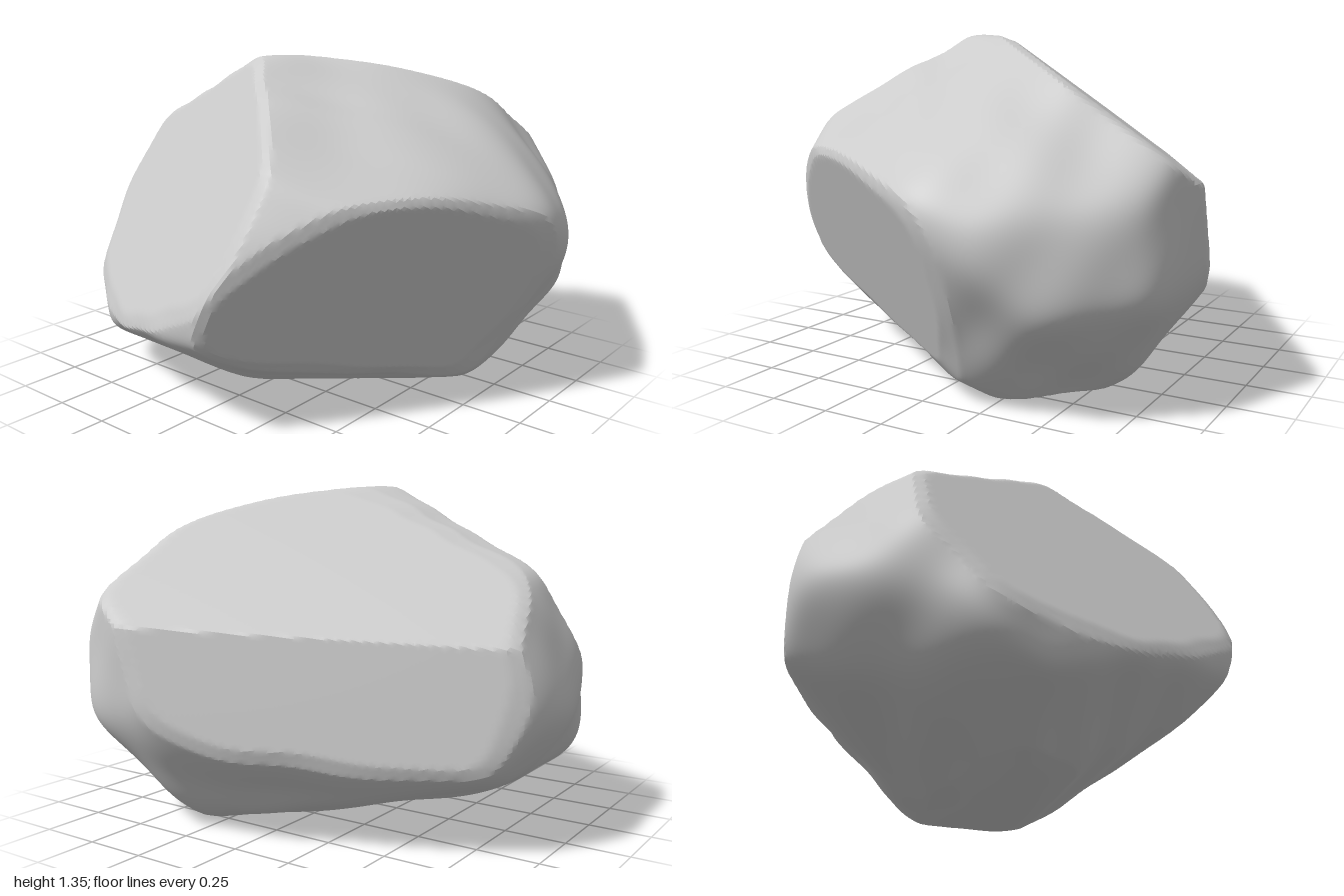
import * as THREE from 'three';
import { toCreasedNormals } from 'three/addons/utils/BufferGeometryUtils.js';

// planes are [normal x, y, z, distance from the origin]

// flat, sharp-edged cuts
const CUTS = [
  [0.52, 0.806, -0.285, 1.05],     // upper cut on the left side
  [0.89, 0.134, -0.436, 0.782],    // steep cut below it
  [-0.775, 0.494, -0.395, 0.9185], // back cut on the right side
  [-0.482, -0.353, 0.803, 0.486],  // undercut at the front
  [0, -1, 0, 0],                   // resting face
];

// broad facets that blend into the weathered body
const BODY = [
  // top
  [-0.239, 0.869, 0.434, 1.195],
  [0, 0.788, 0.616, 1.25],
  [-0.3, 0.6, 0.74, 1.225],
  [0.35, 0.62, 0.7, 1.245],
  [-0.8, 0.35, 0.5, 1.1],
  [0, 1, 0, 1.345],
  [0.05, 0.92, -0.38, 1.23],
  [0, 0.406, -0.914, 1.14],
  // sides
  [0.97, 0, 0.24, 0.965],
  [0.55, 0, 0.83, 1.0],
  [0.3, 0.1, 0.95, 1.1],
  [-0.2, 0, 0.98, 0.96],
  [-0.468, 0, 0.884, 0.885],
  [-0.99, -0.1, 0.1, 0.9],
  [-0.968, 0, -0.25, 0.86],
  [-0.83, -0.05, -0.56, 0.85],
  [-0.3, 0, -0.95, 0.95],
  [0.1, 0, -0.995, 1.02],
  [0.6, 0, -0.8, 0.93],
  // underside
  [0, -0.504, 0.864, 0.54],
  [0.5, -0.7, 0.5, 0.42],
  [0.85, -0.526, 0, 0.51],
  [0.68, -0.68, -0.28, 0.285],
  [0.216, -0.939, -0.267, 0.025],
  [-0.36, -0.877, 0.317, 0.1],
  [-0.534, -0.845, 0, 0.165],
  [0, -0.575, -0.818, 0.517],
  [0, -0.903, -0.429, 0.14],
];

const CENTRE = new THREE.Vector3(0, 0.62, 0);

// store each plane relative to the centre of the rock
const recentre = (list) => list.map(([x, y, z, d]) => {
  const n = new THREE.Vector3(x, y, z);
  return { n, d: d - n.dot(CENTRE) };
});
const cuts = recentre(CUTS);
const body = recentre(BODY);

// gentle lumps on the weathered surface
const lumps = (v) =>
  0.009 * Math.sin(7 * v.x + 3 * v.y + 1) * Math.sin(6 * v.z - 4 * v.y) +
  0.007 * Math.sin(13 * v.x - 9 * v.z + 2) * Math.sin(12 * v.y + 5 * v.z);

// distance from the centre to the surface along a direction
function surfaceRadius(dir) {
  const power = 34;
  let sum = 0;
  for (const { n, d } of body) sum += Math.max(0, n.dot(dir) / d) ** power;
  const blob = 1.03 * sum ** (-1 / power) + lumps(dir);
  let cut = Infinity;
  for (const { n, d } of cuts) {
    const slope = n.dot(dir);
    if (slope > 1e-4) cut = Math.min(cut, d / slope);
  }
  // narrow chipped bevel where a cut meets the body
  return Math.min(blob, cut, (blob + cut) / 2 - 0.013);
}

export function createModel() {
  const group = new THREE.Group();
  group.name = 'boulder';

  // push every vertex of a sphere out to the rock surface
  const geometry = new THREE.IcosahedronGeometry(1, 64);
  geometry.deleteAttribute('uv');
  const pos = geometry.attributes.position;
  const v = new THREE.Vector3();
  for (let i = 0; i < pos.count; i++) {
    v.fromBufferAttribute(pos, i).normalize();
    v.multiplyScalar(surfaceRadius(v)).add(CENTRE);
    pos.setXYZ(i, v.x, v.y, v.z);
  }

  const rock = new THREE.Mesh(
    toCreasedNormals(geometry, 0.3),
    new THREE.MeshStandardMaterial({ color: 0xcccccc })
  );
  rock.name = 'rock';
  group.add(rock);
  return group;
}
